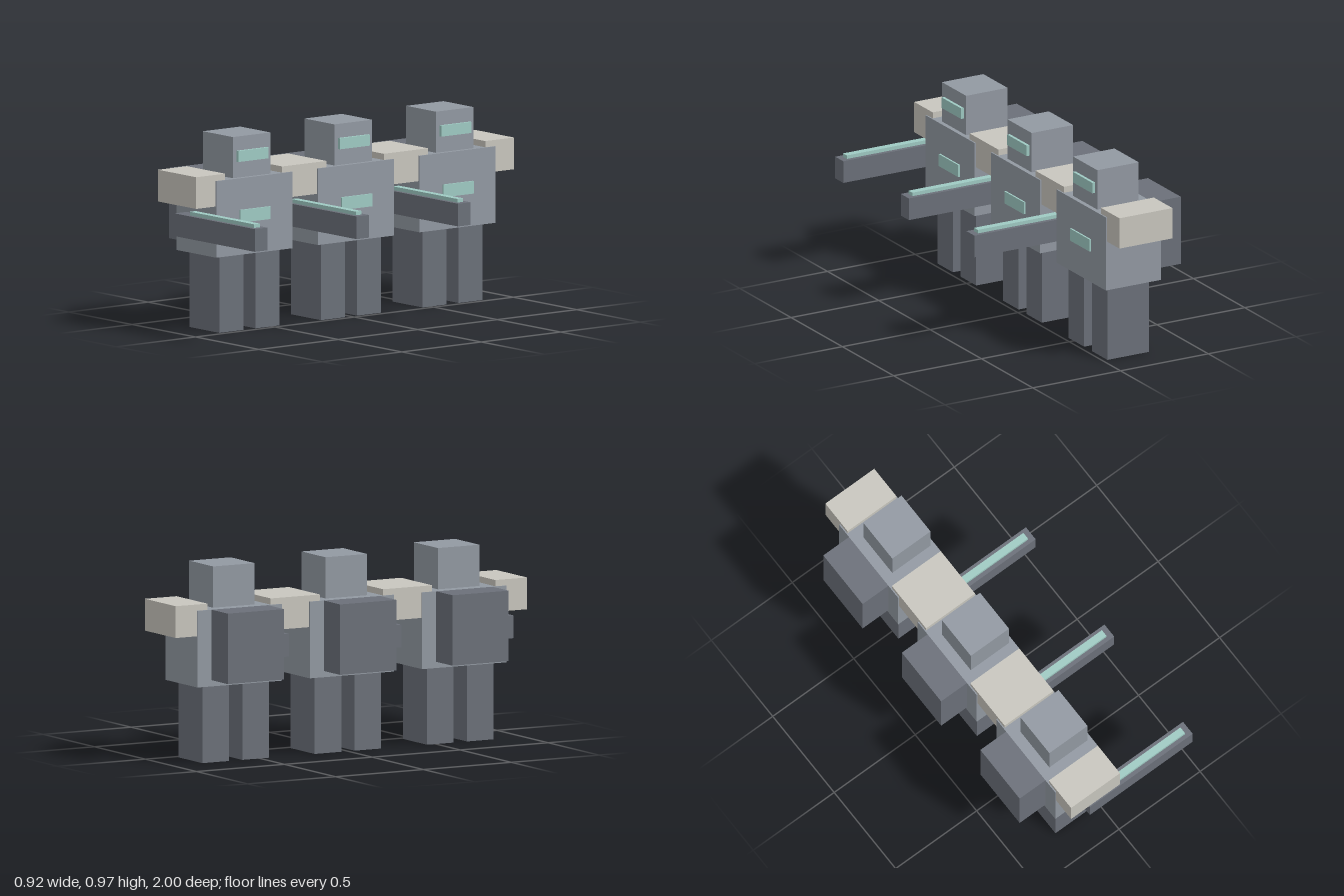
import * as THREE from 'three';

const material = (name, color) => {
  const m = new THREE.MeshStandardMaterial({ color });
  m.name = name;
  return m;
};

export function createModel() {
  const steel = material('steel grey', 0x9299a2);
  const dark = material('dark grey', 0x6b7079);
  const bone = material('pale armour', 0xc8c6be);
  const glow = material('mint glow', 0x9fcac3);

  // Box given by its limits along each axis
  const box = (parent, name, mat, [x0, x1], [y0, y1], [z0, z1]) => {
    const mesh = new THREE.Mesh(new THREE.BoxGeometry(x1 - x0, y1 - y0, z1 - z0), mat);
    mesh.position.set((x0 + x1) / 2, (y0 + y1) / 2, (z0 + z1) / 2);
    mesh.name = name;
    parent.add(mesh);
  };

  // One trooper, facing +x
  const createTrooper = () => {
    const t = new THREE.Group();
    box(t, 'torso', steel, [-0.302, 0.013], [0.384, 0.765], [-0.24, 0.24]);
    box(t, 'head', steel, [-0.246, -0.01], [0.765, 0.97], [-0.118, 0.118]);
    box(t, 'visor', glow, [-0.012, 0.005], [0.845, 0.9], [-0.095, 0.095]);
    box(t, 'chestLight', glow, [0.011, 0.022], [0.545, 0.608], [-0.095, 0.095]);
    box(t, 'backpack', dark, [-0.461, -0.302], [0.415, 0.765], [-0.16, 0.16]);

    // Mirrored legs and shoulder blocks
    for (const [side, s] of [['left', -1], ['right', 1]]) {
      const span = (a, b) => (s > 0 ? [a, b] : [-b, -a]);
      box(t, side + 'Leg', dark, [-0.262, -0.026], [0, 0.384], span(0.038, 0.189));
      box(t, side + 'Shoulder', bone, [-0.296, 0.006], [0.638, 0.796], span(0.18, 0.361));
    }

    // Weapon with its glowing top rail
    box(t, 'weapon', dark, [-0.175, 0.46], [0.48, 0.593], [0.275, 0.354]);
    box(t, 'weaponRail', glow, [-0.08, 0.428], [0.593, 0.611], [0.296, 0.333]);
    return t;
  };

  // Rank of three, side by side
  const group = new THREE.Group();
  group.name = 'trooperRank';
  for (let i = 0; i < 3; i++) {
    const trooper = createTrooper();
    trooper.name = 'trooper' + (i + 1);
    trooper.position.z = (i - 1) * 0.639;
    group.add(trooper);
  }
  return group;
}
